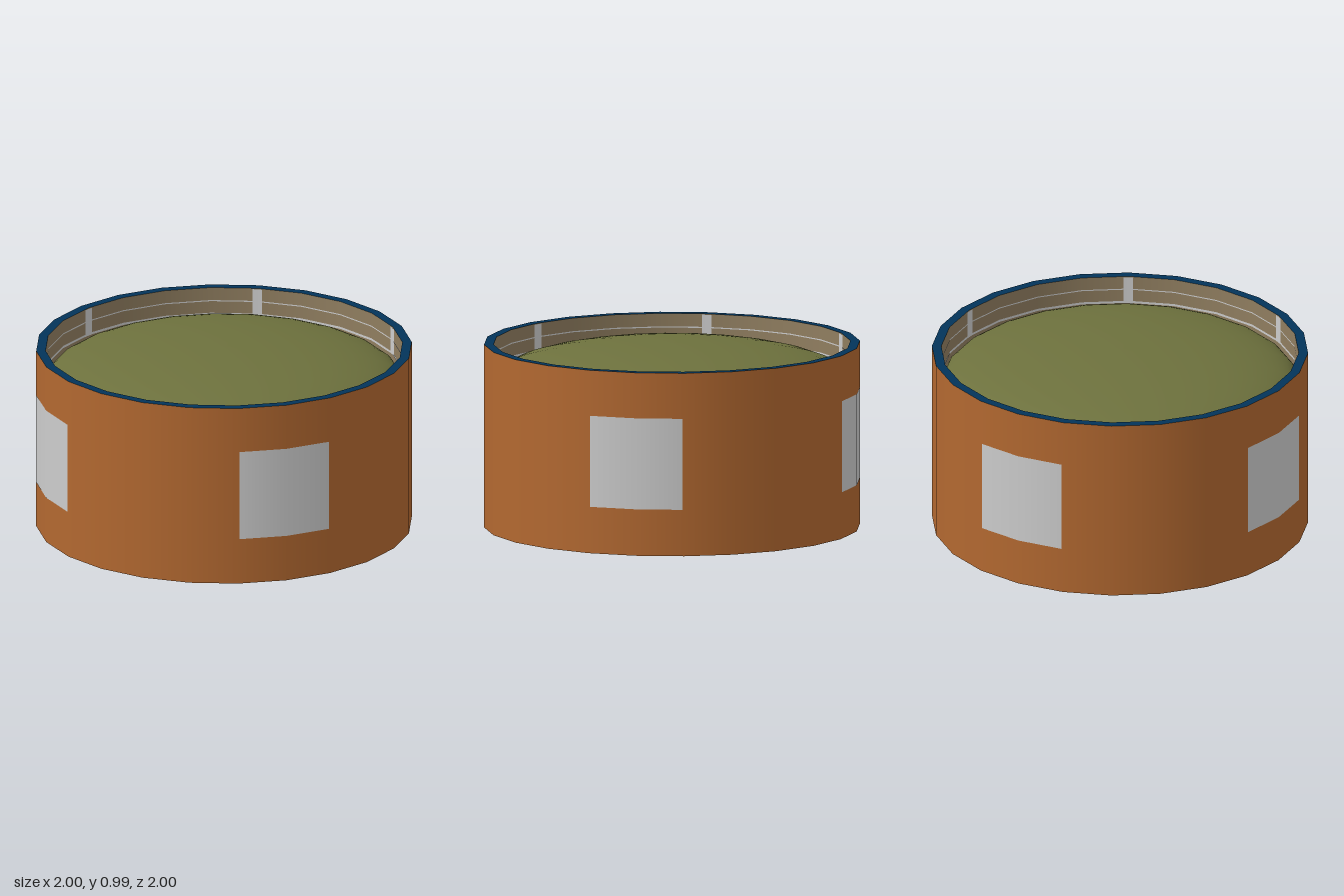
import * as THREE from 'three';

const SIDES = 24, HEIGHT = 0.985, OUTER = 1, INNER = 0.95;
const DEG = Math.PI / 180;

function makeMaterial(name, color, side = THREE.FrontSide) {
  const m = new THREE.MeshStandardMaterial({ color, side });
  m.name = name;
  return m;
}

export function createModel() {
  const group = new THREE.Group();
  group.name = 'drum';
  const copper = makeMaterial('copper brown', 0xb26830);
  const silver = makeMaterial('silver', 0xcccccc, THREE.DoubleSide);
  const navy = makeMaterial('navy', 0x03345a);
  const olive = makeMaterial('olive', 0x6d713d);
  const tan = makeMaterial('tan', 0x8f7d5f, THREE.DoubleSide);

  const add = (name, geometry, material, y = 0) => {
    const mesh = new THREE.Mesh(geometry, material);
    mesh.name = name;
    mesh.position.y = y;
    group.add(mesh);
    return mesh;
  };
  // Open curved band, angles measured from +z towards +x
  const band = (radius, height, segments = SIDES, start = 0, sweep = Math.PI * 2) =>
    new THREE.CylinderGeometry(radius, radius, height, segments, 1, true, start, sweep);

  // Shell
  add('outerWall', band(OUTER, HEIGHT), copper, HEIGHT / 2);
  add('innerWall', band(INNER, HEIGHT), tan, HEIGHT / 2);

  // Flat rims closing the shell at both ends
  for (const top of [true, false]) {
    const rim = add(top ? 'topRim' : 'bottomRim',
      new THREE.RingGeometry(INNER, OUTER, SIDES), navy, top ? HEIGHT : 0);
    rim.rotation.x = top ? -Math.PI / 2 : Math.PI / 2;
  }

  // Four silver panels on the diagonals, each bent over two wall facets
  for (let i = 0; i < 4; i++) {
    add('sidePanel', band(OUTER + 0.001, 0.49, 2, (30.5 + i * 90) * DEG, 29 * DEG), silver, 0.495);
  }

  // Cushioned filling with an elliptical dome on both faces
  const upper = [];
  for (let i = 0; i <= 20; i++) {
    const a = (i / 20) * Math.PI / 2;
    upper.push(new THREE.Vector2(i === 20 ? 0 : 0.949 * Math.cos(a), 0.785 + 0.198 * Math.sin(a)));
  }
  const lower = upper.map(p => new THREE.Vector2(p.x, HEIGHT - p.y)).reverse();
  add('cushion', new THREE.LatheGeometry([...lower, ...upper], SIDES), olive);

  // Silver lining showing inside both ends: fine hoops and six narrow clips
  for (const flip of [false, true]) {
    const at = y => (flip ? HEIGHT - y : y);
    add('liningHoop', band(INNER - 0.002, 0.006), silver, at(0.912));
    add('liningEdge', band(INNER - 0.002, 0.012), silver, at(0.838));
    for (let i = 0; i < 6; i++) {
      const angle = ((flip ? -15 : 15) + i * 60) * DEG;
      add('liningClip', band(INNER - 0.003, 0.15, 2, angle - 0.035, 0.07), silver, at(0.905));
    }
  }
  return group;
}
